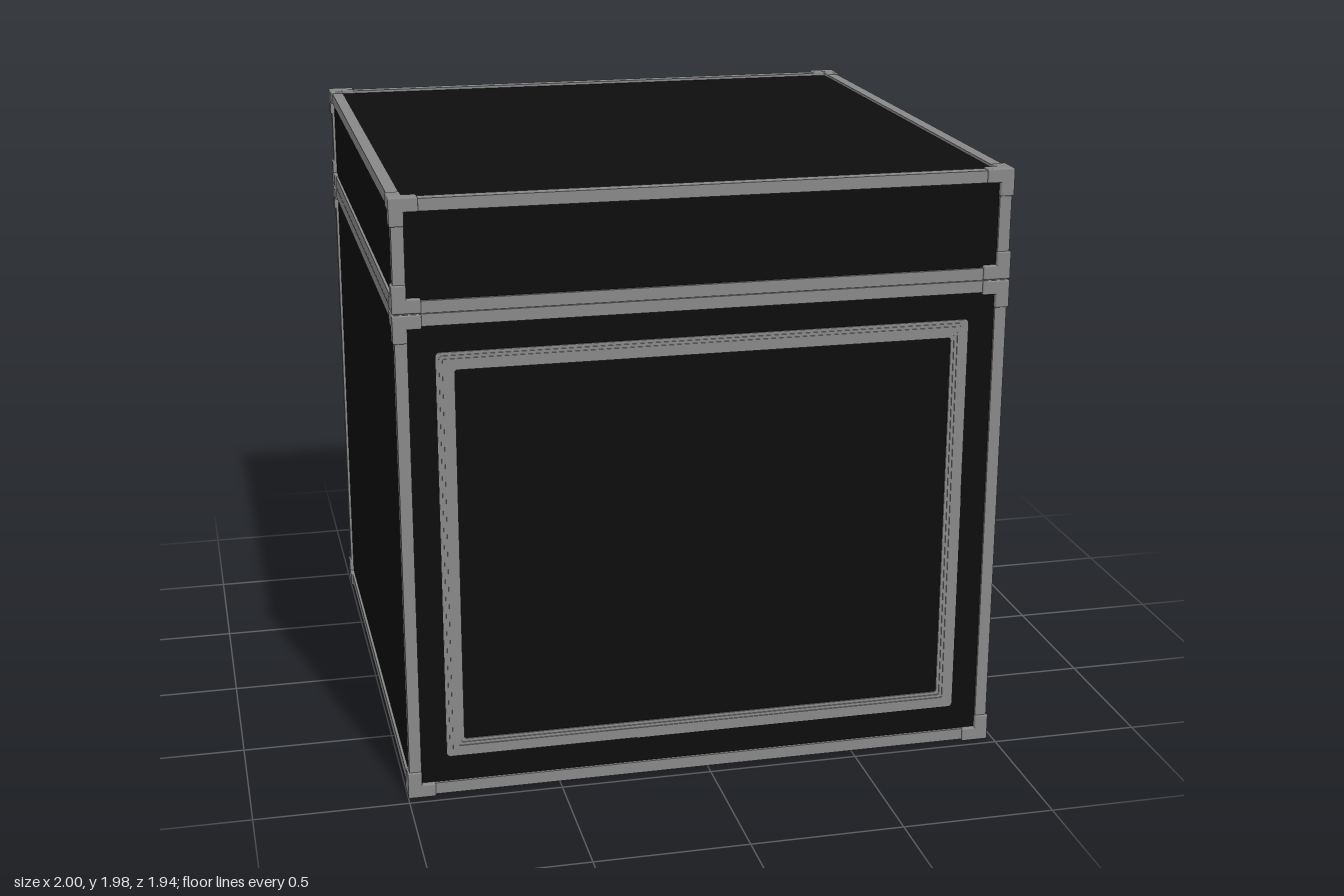
import * as THREE from 'three';
import { RoundedBoxGeometry } from 'three/addons/geometries/RoundedBoxGeometry.js';

const metal = new THREE.MeshStandardMaterial({ color: 0x888888 });
metal.name = 'grey metal';
const black = new THREE.MeshStandardMaterial({ color: 0x0d0d0d });
black.name = 'black panel';

// Outer limits of the case, in its own centred frame
const HX = 0.99, HZ = 0.972, TOP = 1.982, SEAM = 1.62;
const BAR = 0.045, INSET = 0.006, PANEL = 0.015, ARM = 0.09;

function add(parent, name, geometry, material, x = 0, y = 0, z = 0) {
  const mesh = new THREE.Mesh(geometry, material);
  mesh.name = name;
  mesh.position.set(x, y, z);
  parent.add(mesh);
  return mesh;
}

// Box given by its lower and upper corners
function span(parent, name, material, a, b) {
  const s = a.map((v, i) => Math.abs(b[i] - v));
  const c = a.map((v, i) => (v + b[i]) / 2);
  return add(parent, name, new THREE.BoxGeometry(...s), material, ...c);
}

function roundedRect(Type, w, h, r) {
  const p = new Type();
  const x = w / 2 - r, y = h / 2 - r;
  p.absarc(x, y, r, 0, Math.PI / 2);
  p.absarc(-x, y, r, Math.PI / 2, Math.PI);
  p.absarc(-x, -y, r, Math.PI, Math.PI * 1.5);
  p.absarc(x, -y, r, Math.PI * 1.5, Math.PI * 2);
  p.closePath();
  return p;
}

// Flat rectangular ring, facing +z
function ring(w, h, width, depth, r) {
  const shape = roundedRect(THREE.Shape, w, h, r);
  shape.holes.push(roundedRect(THREE.Path, w - 2 * width, h - 2 * width, r * 0.7));
  return new THREE.ExtrudeGeometry(shape, { depth, bevelEnabled: false, curveSegments: 4 });
}

// One half of the case: panel block, edge bars and corner brackets
function shell(name, y0, y1, gapLow, gapHigh) {
  const g = new THREE.Group();
  g.name = name;
  const lo = y0 + (gapLow ? 0.001 : INSET), hi = y1 - (gapHigh ? 0.001 : INSET);
  const bx = HX - INSET, bz = HZ - INSET;
  span(g, 'panels', black,
    [-HX + PANEL, gapLow ? y0 : PANEL, -HZ + PANEL],
    [HX - PANEL, gapHigh ? y1 : y1 - PANEL, HZ - PANEL]);

  for (const sx of [-1, 1]) {
    for (const sz of [-1, 1]) {
      span(g, 'uprightTrim', metal,
        [sx * bx, lo, sz * bz], [sx * (bx - BAR + INSET), hi, sz * (bz - BAR + INSET)]);
    }
  }
  for (const up of [0, 1]) {
    const edge = up ? hi : lo, inner = edge + (up ? -1 : 1) * (BAR - INSET);
    for (const s of [-1, 1]) {
      span(g, 'widthTrim', metal,
        [-bx, edge, s * bz], [bx, inner, s * (bz - BAR + INSET)]);
      span(g, 'depthTrim', metal,
        [s * bx, edge, -bz], [s * (bx - BAR + INSET), inner, bz]);
    }
    // Three-armed brackets
    const seam = up ? gapHigh : gapLow;
    const tip = up ? y1 - (seam ? 0.002 : 0) : y0 + (seam ? 0.002 : 0);
    const dir = up ? -1 : 1;
    for (const sx of [-1, 1]) {
      for (const sz of [-1, 1]) {
        for (const axis of [0, 1, 2]) {
          const len = [0, 1, 2].map(i => (i === axis ? ARM : BAR + 0.001));
          const geo = new RoundedBoxGeometry(...len, 2, 0.005);
          add(g, 'cornerBracket', geo, metal,
            sx * (HX - len[0] / 2), tip + dir * len[1] / 2, sz * (HZ - len[2] / 2));
        }
      }
    }
  }
  return g;
}

// Stepped rectangular moulding on a face
function panelFrame() {
  const g = new THREE.Group();
  g.name = 'panelFrame';
  add(g, 'frameBase', ring(1.72, 1.36, 0.058, 0.004, 0.012), metal);
  add(g, 'frameStep', ring(1.70, 1.34, 0.038, 0.007, 0.01), metal);
  add(g, 'frameRidge', ring(1.68, 1.32, 0.018, 0.010, 0.008), metal);
  return g;
}

// Recessed latch, built facing +z
function latch() {
  const g = new THREE.Group();
  g.name = 'latch';
  add(g, 'latchPlate', ring(0.27, 0.25, 0.025, 0.012, 0.012), metal);
  add(g, 'latchRim', ring(0.235, 0.22, 0.02, 0.018, 0.02), metal);
  add(g, 'latchDish', new THREE.BoxGeometry(0.22, 0.20, 0.010), metal, 0, 0, 0.005);
  add(g, 'latchHandle', new RoundedBoxGeometry(0.16, 0.13, 0.014, 2, 0.006), metal, 0, 0.025, 0.014);
  add(g, 'handleBar', new THREE.BoxGeometry(0.19, 0.012, 0.008), metal, 0, -0.035, 0.02);
  add(g, 'latchLip', new RoundedBoxGeometry(0.148, 0.048, 0.03, 2, 0.006), black, 0, -0.078, 0.02);
  return g;
}

export function createModel() {
  const model = new THREE.Group();
  model.name = 'flightCase';
  const body = new THREE.Group();
  body.name = 'caseBody';
  body.position.x = -0.01;
  model.add(body);

  body.add(shell('base', 0, SEAM, false, true));
  body.add(shell('lid', SEAM, TOP, true, false));

  // Mouldings on front and back
  for (const s of [1, -1]) {
    const f = panelFrame();
    f.position.set(0, 0.812, s * (HZ - PANEL));
    if (s < 0) f.rotation.y = Math.PI;
    body.add(f);
  }

  // Latch across the seam on the +x side
  const l = latch();
  l.position.set(HX - PANEL, 1.645, 0);
  l.rotation.y = Math.PI / 2;
  body.add(l);
  return model;
}
